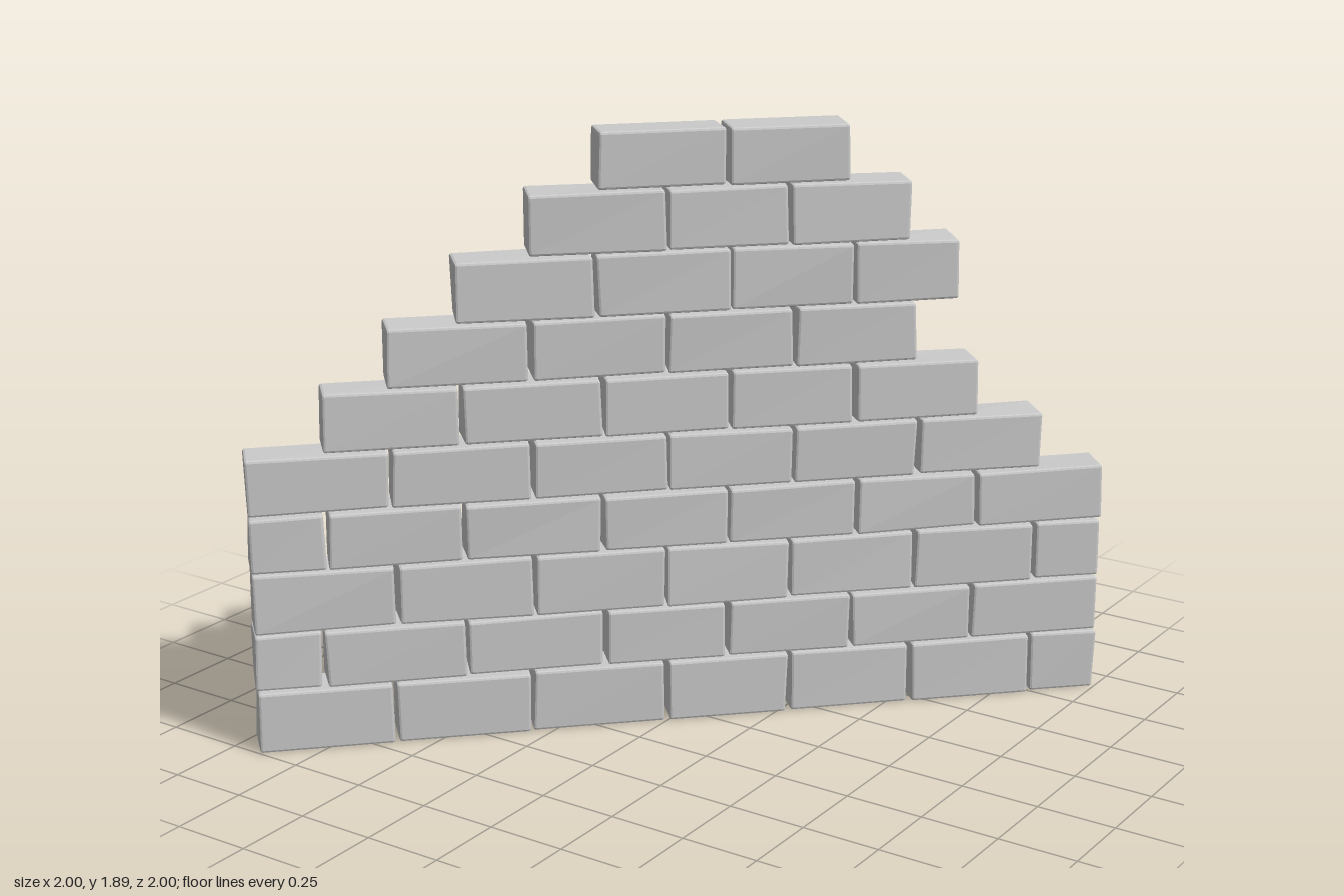
import * as THREE from 'three';
import { RoundedBoxGeometry } from 'three/addons/geometries/RoundedBoxGeometry.js';

const DEPTH = 0.142;
const GAP = 0.012;

// Courses from the ground up: [bottom, top, brick joints as world x on the wall's centre line]
const COURSES = [
  [0.000, 0.195, [-0.948, -0.65, -0.35, -0.05, 0.23, 0.51, 0.795, 0.948]],
  [0.203, 0.380, [-0.948, -0.80, -0.49, -0.185, 0.09, 0.37, 0.65, 0.948]],
  [0.388, 0.575, [-0.948, -0.64, -0.34, -0.05, 0.23, 0.515, 0.795, 0.948]],
  [0.583, 0.757, [-0.948, -0.785, -0.49, -0.19, 0.09, 0.38, 0.655, 0.948]],
  [0.768, 0.944, [-0.948, -0.645, -0.34, -0.045, 0.235, 0.515, 0.80]],
  [0.952, 1.133, [-0.782, -0.49, -0.185, 0.095, 0.37, 0.647]],
  [1.143, 1.324, [-0.643, -0.34, -0.045, 0.235, 0.505]],
  [1.330, 1.518, [-0.496, -0.20, 0.095, 0.365, 0.595]],
  [1.524, 1.708, [-0.338, -0.045, 0.22, 0.487]],
  [1.716, 1.890, [-0.193, 0.085, 0.349]],
];

// Small seeded generator, returns -1..1
function makeRandom(seed) {
  let s = seed;
  return () => {
    s = (s * 16807) % 2147483647;
    return (s / 2147483647) * 2 - 1;
  };
}

// Bevelled brick whose eight corners are each nudged a little
function brickGeometry(w, h, d, random, onGround) {
  const geo = new RoundedBoxGeometry(w, h, d, 1, 0.008);
  const corners = Array.from({ length: 8 }, (_, i) => new THREE.Vector3(
    random() * 0.005,
    onGround && !(i & 2) ? 0 : random() * 0.003,
    random() * 0.004,
  ));
  const pos = geo.attributes.position;
  const p = new THREE.Vector3();
  for (let i = 0; i < pos.count; i++) {
    p.fromBufferAttribute(pos, i);
    const a = p.x / w + 0.5, b = p.y / h + 0.5, c = p.z / d + 0.5;
    corners.forEach((offset, k) => {
      const weight = (k & 1 ? a : 1 - a) * (k & 2 ? b : 1 - b) * (k & 4 ? c : 1 - c);
      p.addScaledVector(offset, weight);
    });
    pos.setXYZ(i, p.x, p.y, p.z);
  }
  geo.computeVertexNormals();
  return geo;
}

export function createModel() {
  const model = new THREE.Group();
  model.name = 'brickWall';
  const random = makeRandom(4711);
  const material = new THREE.MeshStandardMaterial({ color: 0xcccccc, flatShading: true });

  // Wall runs diagonally across the ground
  const wall = new THREE.Group();
  wall.name = 'wall';
  wall.rotation.y = Math.PI / 4;
  model.add(wall);

  COURSES.forEach(([bottom, top, joints], row) => {
    const course = new THREE.Group();
    course.name = `course${row + 1}`;
    wall.add(course);
    for (let i = 0; i < joints.length - 1; i++) {
      // Only inner joints lose half a gap; the course ends stay put
      const start = joints[i] * Math.SQRT2 + (i > 0 ? GAP / 2 : 0);
      const end = joints[i + 1] * Math.SQRT2 - (i < joints.length - 2 ? GAP / 2 : 0);
      const brick = new THREE.Mesh(
        brickGeometry(end - start, top - bottom, DEPTH, random, row === 0), material);
      brick.name = `brick${row + 1}_${i + 1}`;
      brick.position.set((start + end) / 2, (bottom + top) / 2, random() * 0.002);
      course.add(brick);
    }
  });

  return model;
}
